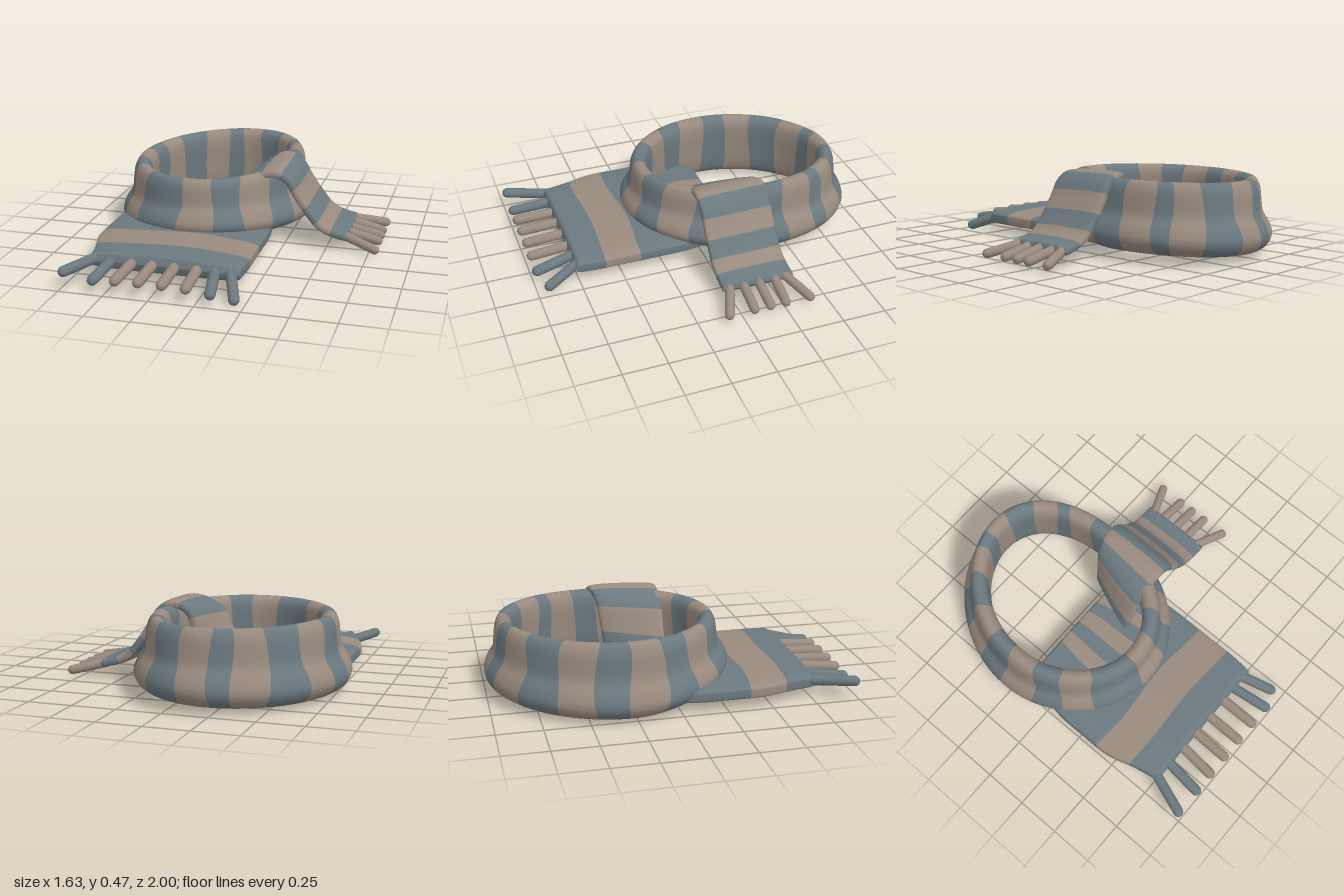
import * as THREE from 'three';

const V = (x, y, z = 0) => new THREE.Vector3(x, y, z);
const power = (c, e) => Math.sign(c) * Math.abs(c) ** e;
const within = (value, ranges) => ranges.some(([a, b]) => value > a && value < b) ? 1 : 0;

// Closed cross-sections (v) swept along u; tone(point, u, v) picks blue (0) or tan (1).
function loft(nu, nv, point, tone, mats, closed = false) {
  const pos = [], faces = [[], []];
  const rows = closed ? nu : nu + 1;
  for (let i = 0; i < rows; i++)
    for (let j = 0; j < nv; j++) pos.push(...point(i / nu, j / nv).toArray());
  for (let i = 0; i < nu; i++)
    for (let j = 0; j < nv; j++) {
      const i1 = (i + 1) % rows, j1 = (j + 1) % nv;
      const a = i * nv + j, b = i1 * nv + j, c = i1 * nv + j1, d = i * nv + j1;
      const u = (i + 0.5) / nu, v = (j + 0.5) / nv;
      faces[tone(point(u, v), u, v)].push(a, b, c, a, c, d);
    }
  const geo = new THREE.BufferGeometry();
  geo.setAttribute('position', new THREE.Float32BufferAttribute(pos, 3));
  geo.setIndex([...faces[0], ...faces[1]]);
  geo.addGroup(0, faces[0].length, 0);
  geo.addGroup(faces[0].length, faces[1].length, 1);
  geo.computeVertexNormals();
  return new THREE.Mesh(geo, mats);
}

// Thickness factor that rounds off both ends of a ribbon
function endRound(u, size) {
  const e = Math.min(1, Math.min(u, 1 - u) / size);
  return Math.sqrt(Math.max(0, 1 - (1 - e) ** 2));
}

function strand(from, to, radius, mat) {
  const dir = to.clone().sub(from), len = dir.length();
  const mesh = new THREE.Mesh(new THREE.CapsuleGeometry(radius, len - radius, 5, 10), mat);
  mesh.position.copy(from).addScaledVector(dir, 0.5 - radius / len / 2);
  mesh.quaternion.setFromUnitVectors(V(0, 1, 0), dir.normalize());
  mesh.name = 'fringeStrand';
  return mesh;
}

export function createModel() {
  const model = new THREE.Group();
  model.name = 'scarf';
  const blue = new THREE.MeshStandardMaterial({ color: 0x6b797f });
  blue.name = 'slate blue wool';
  const tan = new THREE.MeshStandardMaterial({ color: 0x998a7e });
  tan.name = 'tan wool';
  const mats = [blue, tan];

  // Neck loop: x = inset from the widest outline, y = height
  const profile = new THREE.CatmullRomCurve3([
    V(0, 0.11), V(0.02, 0.18), V(0.058, 0.24), V(0.07, 0.32), V(0.08, 0.39), V(0.105, 0.435),
    V(0.14, 0.44), V(0.175, 0.41), V(0.185, 0.33), V(0.18, 0.22), V(0.175, 0.12),
    V(0.155, 0.05), V(0.1, 0.02), V(0.03, 0.05)], true);
  const loopPoint = (u, v) => {
    const p = profile.getPoint(v);
    const t = u * Math.PI * 2 + 0.02 * Math.sin(v * Math.PI * 4 + u * Math.PI * 10);
    const s = Math.sin(t), c = Math.cos(t);
    const lift = (0.08 * Math.max(0, c) ** 1.5 + 0.02 * (1 + s)) * (1 - p.y / 0.44);
    const inset = p.x * (1 - 0.1 * c * c);
    return V(-0.235 + 0.035 * c * c + (0.578 - inset) * s,
      p.y + lift + 0.008 * s * p.y / 0.44,
      -0.32 + (0.68 - inset) * c - 0.05 * s);
  };
  const tanAngles = [0, 38, 73, 107, 135, 175, 205, 243, 277, 311, 360];
  const loop = loft(180, 40, loopPoint,
    (p, u) => within(u * 360, tanAngles.map(a => [a - 9.2, a + 9.2])), mats, true);
  loop.name = 'neckLoop';
  model.add(loop);

  // Wide front end lying flat beneath the loop: x = left edge, y = right edge, z = depth
  const edges = new THREE.CatmullRomCurve3([
    V(-0.64, 0.1, -0.2), V(-0.69, 0.15, -0.1), V(-0.735, 0.185, 0.08), V(-0.74, 0.19, 0.28),
    V(-0.735, 0.19, 0.46), V(-0.69, 0.19, 0.62), V(-0.66, 0.18, 0.77)]);
  const across = v => power(-Math.cos(v * Math.PI * 2), 0.9);
  const panelPoint = (u, v) => {
    const e = edges.getPoint(u), k = across(v);
    const x = (e.x + e.y) / 2 + k * (e.y - e.x) / 2;
    const y = 0.11 + 0.052 * power(Math.sin(v * Math.PI * 2), 0.35) * endRound(u, 0.035);
    return V(x, y - 0.008 * k * k, e.z + 0.012 * Math.sin(x * 9) * Math.sin(u * Math.PI));
  };
  // Lengthwise stripes inside the loop, one broad crosswise band in front
  const panelStripes = [[-0.33, -0.14], [0.1, 0.3], [0.47, 0.65]];
  const panel = loft(90, 120, panelPoint, (p, u, v) => u < 0.42
    ? within(across(v), panelStripes)
    : within(u, [[0.59, 0.8]]), mats);
  panel.name = 'frontPanel';
  model.add(panel);

  // Narrow end rising from inside the loop, folding over its rim and hanging outside
  const path = new THREE.CatmullRomCurve3([
    V(-0.03, 0.14), V(0.02, 0.28), V(0.065, 0.39), V(0.13, 0.435), V(0.2, 0.447), V(0.265, 0.415),
    V(0.33, 0.315), V(0.4, 0.215), V(0.47, 0.14), V(0.55, 0.105), V(0.63, 0.088)]);
  const tailPoint = (u, v) => {
    const c = path.getPoint(u), g = path.getTangent(u), a = v * Math.PI * 2;
    const k = power(Math.cos(a), 0.9);
    const h = 0.03 * power(Math.sin(a), 0.4) * endRound(u, 0.03);
    const skew = Math.max(0, 1 - u / 0.4);
    return V(c.x - g.y * h - 0.07 * k * skew,
      c.y + g.x * h - 0.012 * k * (1 - u),
      -0.135 - 0.02 * u + k * (0.2 - 0.03 * skew + 0.01 * u) + 0.02 * skew);
  };
  const tailStripes = [[0, 0.05], [0.14, 0.23], [0.305, 0.37], [0.44, 0.52]];
  const tail = loft(120, 40, tailPoint, (p, u) => within(path.getPoint(u).x, tailStripes), mats);
  tail.name = 'sideTail';
  model.add(tail);

  // Fringes: root x, tip x, tip height, colour
  const frontFringe = new THREE.Group();
  frontFringe.name = 'frontFringe';
  for (const [x0, x1, y1, m] of [
    [-0.64, -0.735, 0.115, blue], [-0.54, -0.565, 0.08, blue], [-0.42, -0.44, 0.09, tan],
    [-0.305, -0.31, 0.095, tan], [-0.18, -0.18, 0.095, tan], [-0.055, -0.05, 0.09, tan],
    [0.04, 0.085, 0.07, blue], [0.125, 0.205, 0.03, blue]])
    frontFringe.add(strand(V(x0, 0.11, 0.74), V(x1, y1, x1 > 0.15 ? 0.955 : 1), 0.03, m));
  model.add(frontFringe);

  // Fringe of the side tail: root z, tip z
  const tailFringe = new THREE.Group();
  tailFringe.name = 'tailFringe';
  for (const [z0, z1] of [[-0.32, -0.405], [-0.255, -0.25], [-0.16, -0.16], [-0.07, -0.065], [0.01, 0.09]])
    tailFringe.add(strand(V(0.61, 0.09, z0), V(0.815, 0.045, z1), 0.027, tan));
  model.add(tailFringe);

  return model;
}
